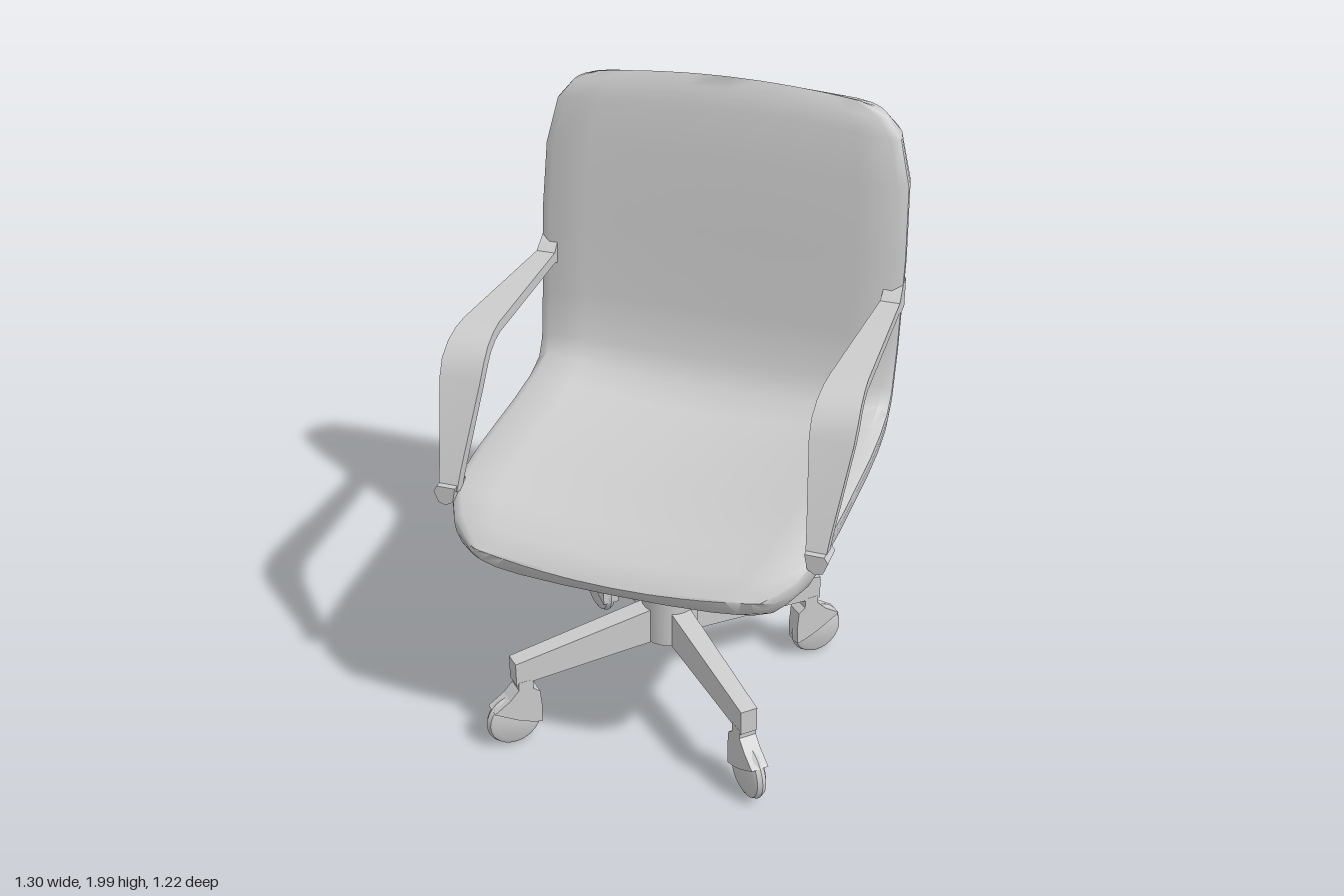
import * as THREE from 'three';
import { toCreasedNormals } from 'three/addons/utils/BufferGeometryUtils.js';

const grey = new THREE.MeshStandardMaterial({ color: 0xcccccc });

function add(parent, name, geometry, x = 0, y = 0, z = 0) {
  const mesh = new THREE.Mesh(geometry, grey);
  mesh.name = name;
  mesh.position.set(x, y, z);
  parent.add(mesh);
  return mesh;
}

// Skin a row of equal rings of [x, y, z] points, with fan caps at both ends
function loft(rings, crease) {
  const n = rings[0].length, last = (rings.length - 1) * n, index = [];
  for (let i = 0; i < rings.length - 1; i++) {
    for (let j = 0; j < n; j++) {
      const a = i * n + j, b = i * n + (j + 1) % n;
      index.push(a, b, b + n, a, b + n, a + n);
    }
  }
  for (let j = 1; j < n - 1; j++) {
    index.push(0, j + 1, j, last, last + j, last + j + 1);
  }
  const g = new THREE.BufferGeometry();
  g.setAttribute('position', new THREE.Float32BufferAttribute(rings.flat(2), 3));
  g.setIndex(index);
  return toCreasedNormals(g, crease);
}

// Seat and back in one padded shell, from the front lip to the top edge
function shellGeometry() {
  // inner centre z,y | inner rim z,y | outer z,y | half width | bow z,y
  const stations = [
    [0.612, 0.79, 0.612, 0.79, 0.612, 0.79, 0.45, -0.022, 0.03],
    [0.6, 0.81, 0.575, 0.845, 0.595, 0.752, 0.495, -0.018, 0.005],
    [0.56, 0.85, 0.525, 0.89, 0.555, 0.733, 0.545, -0.01, 0],
    [0.45, 0.89, 0.43, 0.94, 0.45, 0.723, 0.588, 0, 0],
    [0.2, 0.9, 0.2, 0.96, 0.2, 0.72, 0.6, 0, 0],
    [-0.1, 0.907, -0.1, 0.973, -0.15, 0.72, 0.605, 0, 0],
    [-0.23, 0.93, -0.23, 0.99, -0.3, 0.722, 0.605, 0, 0],
    [-0.315, 0.985, -0.31, 1.02, -0.42, 0.745, 0.605, 0, 0],
    [-0.36, 1.07, -0.345, 1.075, -0.475, 0.82, 0.607, 0, 0],
    [-0.385, 1.23, -0.37, 1.22, -0.52, 1.05, 0.61, 0, 0],
    [-0.405, 1.5, -0.4, 1.5, -0.57, 1.45, 0.612, 0, 0],
    [-0.433, 1.75, -0.43, 1.72, -0.612, 1.76, 0.602, 0, 0],
    [-0.453, 1.9, -0.45, 1.87, -0.6, 1.9, 0.565, 0, 0],
    [-0.47, 1.965, -0.465, 1.94, -0.555, 1.965, 0.515, 0, -0.01],
    [-0.49, 2.0, -0.49, 2.0, -0.49, 2.0, 0.43, 0, -0.03],
  ];
  const innerU = [0, 0.25, 0.5, 0.75, 0.95];
  const outer = [[1, 0.1], [1, 0.2], [0.985, 0.4], [0.95, 0.6], [0.88, 0.81], [0.78, 0.925],
    [0.62, 0.98], [0.33, 1], [0, 1]];
  const rings = stations.map(([iz, iy, rz, ry, oz, oy, w, bz, by]) => {
    const half = [
      ...innerU.map((u) => [u, iy + (ry - iy) * u * u, iz + (rz - iz) * u * u]),
      ...outer.map(([u, t]) => [u, ry + (oy - ry) * t, rz + (oz - rz) * t]),
    ].map(([u, y, z]) => [u * w, y + by * u * u, z + bz * u * u]);
    const mirrored = half.slice(1, -1).reverse().map(([x, y, z]) => [-x, y, z]);
    return [...half, ...mirrored];
  });
  return loft(rings, 0.9);
}

// Flat armrest band, widest at the front bend
function armGeometry() {
  // z, y, half thickness, half width
  const path = [
    [-0.45, 1.37, 0.05, 0.028], [-0.41, 1.365, 0.048, 0.029], [-0.36, 1.352, 0.018, 0.032],
    [0.16, 1.352, 0.018, 0.058], [0.21, 1.345, 0.018, 0.062], [0.26, 1.325, 0.018, 0.066],
    [0.3, 1.29, 0.018, 0.069], [0.325, 1.245, 0.018, 0.067], [0.43, 0.99, 0.02, 0.036],
    [0.455, 0.925, 0.02, 0.03],
  ];
  const rings = path.map(([z, y, t, w], i) => {
    const p = path[Math.max(i - 1, 0)], q = path[Math.min(i + 1, path.length - 1)];
    const flat = i < 3;
    const dz = flat ? 1 : q[0] - p[0], dy = flat ? 0 : q[1] - p[1], l = Math.hypot(dz, dy);
    return [[-1, -1], [1, -1], [1, 1], [-1, 1]].map(([sx, s]) =>
      [sx * w, y + s * t * dz / l, z - s * t * dy / l]);
  });
  return loft(rings, 0.6);
}

// Flat outline extruded evenly to both sides of its plane
function plate(points, width) {
  const shape = new THREE.Shape(points.map(([x, y]) => new THREE.Vector2(x, y)));
  return new THREE.ExtrudeGeometry(shape, { depth: width, bevelEnabled: false })
    .translate(0, 0, -width / 2);
}

// The same with its outline in z and y
const sidePlate = (points, width) => plate(points, width).rotateY(-Math.PI / 2);

function legWithCaster() {
  const leg = new THREE.Group();
  const section = (z, low, high, w) => [[-w, low, z], [w, low, z], [w, high, z], [-w, high, z]];
  add(leg, 'legBeam', loft([section(0, 0.275, 0.41, 0.035), section(0.56, 0.245, 0.33, 0.028)], 0.3));

  // Rounded wheel disc
  const profile = [[0, -0.024], [0.07, -0.024], [0.087, -0.015], [0.094, 0],
    [0.087, 0.015], [0.07, 0.024], [0, 0.024]].map(([r, y]) => new THREE.Vector2(r, y));
  const wheel = toCreasedNormals(new THREE.LatheGeometry(profile, 28).rotateZ(Math.PI / 2), 0.6);
  add(leg, 'casterWheel', wheel, 0, 0.1, 0.565);

  // Hood over the inner upper part of the wheel, with its neck
  const hood = [[0.074, 0.057], [0.02, 0.092], [-0.012, 0.125], [-0.012, 0.155], [-0.062, 0.155],
    [-0.062, 0.118], [-0.085, 0.1], [-0.09, 0.04], [-0.088, -0.025], [-0.055, -0.015],
    [-0.01, 0.005], [0.035, 0.032]];
  add(leg, 'casterHood', sidePlate(hood, 0.058), 0, 0.1, 0.565);
  return leg;
}

export function createModel() {
  const chair = new THREE.Group();
  chair.name = 'officeChair';
  add(chair, 'seatShell', shellGeometry());

  // Armrests
  const foot = [[-0.03, 0.95], [-0.02, 0.9], [0.005, 0.885], [0.028, 0.893], [0.042, 0.93], [0.03, 0.95]];
  for (const [side, name] of [[1, 'leftArmrest'], [-1, 'rightArmrest']]) {
    const arm = new THREE.Group();
    arm.name = name;
    arm.position.x = side * 0.583;
    add(arm, 'armBand', armGeometry());
    add(arm, 'armFoot', plate(foot.map(([x, y]) => [side * x, y]), 0.08), 0, 0, 0.447);
    chair.add(arm);
  }

  // Tilt mechanism below the seat
  const tray = [[0.285, 0.74], [0.285, 0.705], [0.25, 0.675], [0.18, 0.652], [-0.1, 0.652],
    [-0.16, 0.675], [-0.21, 0.705], [-0.21, 0.74]];
  add(chair, 'tiltTray', sidePlate(tray, 0.16));
  add(chair, 'mountingBar', new THREE.BoxGeometry(0.345, 0.045, 0.16), 0, 0.707, 0.08);
  add(chair, 'tensionStem', new THREE.CylinderGeometry(0.017, 0.017, 0.06, 16), 0, 0.64, -0.07);
  add(chair, 'tensionKnob', new THREE.CylinderGeometry(0.025, 0.025, 0.05, 16), 0, 0.597, -0.07);

  // Four-legged base
  const base = new THREE.Group();
  base.name = 'base';
  base.position.z = 0.08;
  add(base, 'column', new THREE.CylinderGeometry(0.073, 0.073, 0.24, 28), 0, 0.55, 0);
  add(base, 'hub', new THREE.CylinderGeometry(0.093, 0.093, 0.2, 28), 0, 0.372, 0);
  for (let i = 0; i < 4; i++) {
    const leg = legWithCaster();
    leg.name = 'leg' + (i + 1);
    leg.rotation.y = Math.PI / 4 + i * Math.PI / 2;
    base.add(leg);
  }
  chair.add(base);
  return chair;
}
